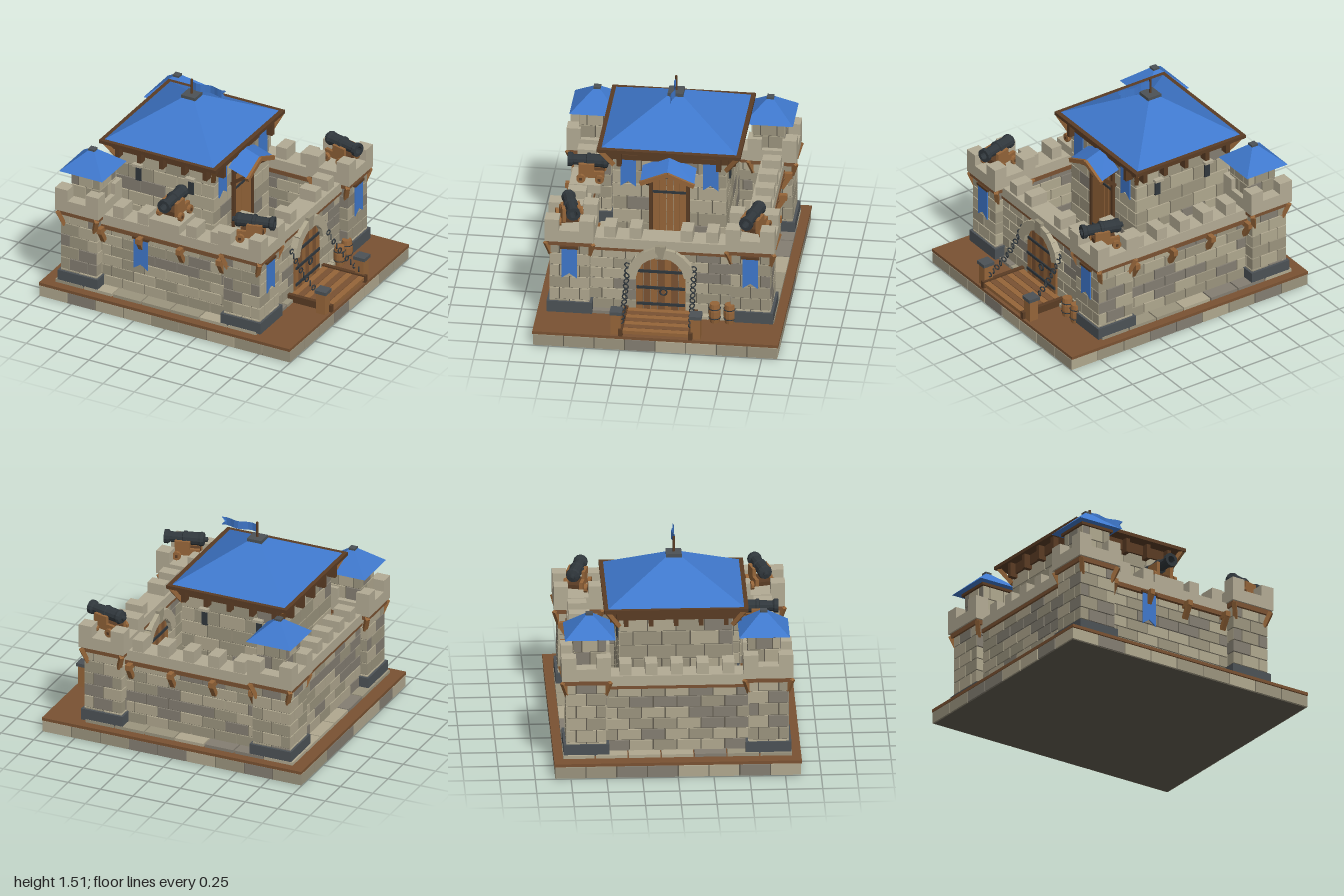
import * as THREE from 'three';
import { mergeGeometries } from 'three/addons/utils/BufferGeometryUtils.js';

const mat = (color, side = THREE.FrontSide) => new THREE.MeshStandardMaterial({ color, side, flatShading: true });
const M = {
  stones: [mat(0xb0a88f), mat(0x9b947e), mat(0x847e72)], cap: mat(0xb3ab94), mortar: mat(0x625d50),
  earth: mat(0x7a5232), wood: mat(0x956539), dark: mat(0x5a3c24), blue: mat(0x3f78cc),
  cloth: mat(0x3f78cc, THREE.DoubleSide), slate: mat(0x4c5256), iron: mat(0x30373c),
};
let seed = 7;
const rand = () => (seed = (seed * 16807) % 2147483647) / 2147483647;

export function createModel() {
  const root = new THREE.Group();
  const add = (parent, name, geo, material, x = 0, y = 0, z = 0) => {
    const m = new THREE.Mesh(geo, material);
    m.name = name; m.position.set(x, y, z); parent.add(m);
    return m;
  };
  const group = (name, x = 0, y = 0, z = 0, ry = 0, parent = root) => {
    const g = new THREE.Group();
    g.name = name; g.position.set(x, y, z); g.rotation.y = ry; parent.add(g);
    return g;
  };
  // box given by its limits
  const box = (name, material, x0, x1, y0, y1, z0, z1, parent = root) =>
    add(parent, name, new THREE.BoxGeometry(x1 - x0, y1 - y0, z1 - z0), material, (x0 + x1) / 2, (y0 + y1) / 2, (z0 + z1) / 2);
  // square bar between two points
  const beam = (name, material, a, b, w, parent = root) => {
    const p = new THREE.Vector3(...a), q = new THREE.Vector3(...b);
    const m = add(parent, name, new THREE.BoxGeometry(w, w, p.distanceTo(q)), material);
    m.position.copy(p).add(q).multiplyScalar(0.5);
    m.lookAt(q);
    return m;
  };
  const pyramid = (name, material, hx, hz, top, y0, y1, x, z) => {
    const geo = new THREE.CylinderGeometry(top * Math.SQRT2 / hz, Math.SQRT2, y1 - y0, 4).rotateY(Math.PI / 4).scale(hx, 1, hz);
    return add(root, name, geo, material, x, (y0 + y1) / 2, z);
  };
  const addStones = (parent, name, lists) => lists.forEach((l, i) => l.length && add(parent, name, mergeGeometries(l), M.stones[i]));
  const shade = () => { const r = rand(); return r < 0.45 ? 0 : r < 0.8 ? 1 : 2; };

  // mortar core faced with courses of stone on its four sides
  function masonry(name, x0, x1, y0, y1, z0, z1, rows, width) {
    const g = group(name), lists = [[], [], []], d = 0.012, gap = 0.008, h = (y1 - y0) / rows;
    box('mortar', M.mortar, x0 + d, x1 - d, y0, y1, z0 + d, z1 - d, g);
    const cx = (x0 + x1) / 2, cz = (z0 + z1) / 2;
    for (let side = 0; side < 4; side++) {
      const len = side % 2 ? z1 - z0 : x1 - x0, out = (side % 2 ? x1 - x0 : z1 - z0) / 2;
      const n = Math.max(1, Math.round(len / width)), w = len / n;
      for (let r = 0; r < rows; r++) for (let i = 0; i <= n; i++) {
        const shift = r % 2 ? w / 2 : 0;
        const a = Math.max(0, i * w - shift), b = Math.min(len, (i + 1) * w - shift);
        if (b - a < 0.02) continue;
        lists[shade()].push(new THREE.BoxGeometry(b - a - gap, h - gap, 0.03)
          .translate((a + b) / 2 - len / 2, y0 + (r + 0.5) * h, out - 0.015)
          .rotateY(side * Math.PI / 2).translate(cx, 0, cz));
      }
    }
    addStones(g, 'stones', lists);
  }

  // swallow-tailed hanging banner facing local +z
  function banner(x, top, z, ry) {
    const g = group('banner', x, top, z, ry), s = new THREE.Shape();
    [[-0.055, 0], [0.055, 0], [0.055, -0.24], [0, -0.2], [-0.055, -0.24]].forEach((p, i) => i ? s.lineTo(...p) : s.moveTo(...p));
    add(g, 'cloth', new THREE.ExtrudeGeometry(s, { depth: 0.008, bevelEnabled: false }), M.cloth);
    box('bannerRod', M.dark, -0.065, 0.065, -0.005, 0.012, -0.005, 0.015, g);
  }

  // cannon pointing to local +x
  function cannon(x, y, z, ry) {
    const g = group('cannon', x, y, z, ry);
    const profile = [[0, -0.17], [0.018, -0.165], [0.018, -0.148], [0.046, -0.14], [0.052, -0.12], [0.046, -0.1], [0.046, -0.02], [0.051, -0.015], [0.051, 0.005],
      [0.04, 0.01], [0.037, 0.1], [0.05, 0.112], [0.05, 0.14], [0.028, 0.14], [0.028, 0.06], [0, 0.06]];
    add(g, 'barrel', new THREE.LatheGeometry(profile.map(p => new THREE.Vector2(...p)), 12).rotateZ(-Math.PI / 2), M.iron, 0, 0.135, 0);
    for (const s of [-1, 1]) {
      box('carriageCheek', M.wood, -0.12, 0.06, 0.03, 0.08, s * 0.055 - 0.012, s * 0.055 + 0.012, g);
      box('carriageCheekTop', M.wood, -0.05, 0.06, 0.08, 0.135, s * 0.055 - 0.012, s * 0.055 + 0.012, g);
      for (const wx of [-0.09, 0.04])
        add(g, 'wheel', new THREE.CylinderGeometry(0.032, 0.032, 0.022, 10).rotateX(Math.PI / 2), M.wood, wx, 0.032, s * 0.085);
    }
    box('carriageBed', M.dark, -0.11, 0.05, 0.03, 0.055, -0.05, 0.05, g);
    for (const wx of [-0.09, 0.04]) box('axle', M.dark, wx - 0.01, wx + 0.01, 0.022, 0.042, -0.1, 0.1, g);
  }

  // base, earth and paving
  masonry('base', -1, 1, 0, 0.09, -0.86, 0.86, 1, 0.22);
  box('underside', M.mortar, -0.99, 0.99, 0, 0.01, -0.85, 0.85);
  box('earth', M.earth, -1, 1, 0.09, 0.112, -0.865, 0.865);
  const slabs = [[], [], []];
  for (let i = 0; i < 7; i++) for (let j = 0; j < 7; j++)
    slabs[shade()].push(new THREE.BoxGeometry(0.22, 0.025, 0.22).translate(-0.795 + i * 0.23, 0.122, (j - 3) * 0.23));
  addStones(root, 'paving', slabs);

  // curtain walls with cap and battlements
  for (const s of [-1, 1]) {
    masonry('sideWall', -0.6, 0.45, 0.13, 0.62, s * 0.64 - 0.06, s * 0.64 + 0.06, 6, 0.17);
    box('sideWallCap', M.cap, -0.6, 0.45, 0.62, 0.7, s * 0.64 - 0.08, s * 0.64 + 0.08);
    box('sideWallBeam', M.earth, -0.58, 0.44, 0.59, 0.622, s * 0.64 - 0.085, s * 0.64 + 0.085);
    for (const x of [-0.45, -0.255, -0.06, 0.135, 0.33])
      if (s < 0 || x !== -0.06) box('merlon', M.cap, x - 0.042, x + 0.042, 0.7, 0.79, s * 0.65 - 0.065, s * 0.65 + 0.065);
    for (const x of [-0.57, -0.26, 0.06, 0.38]) {
      box('bracket', M.wood, x - 0.018, x + 0.018, 0.57, 0.61, s * 0.74 - 0.04, s * 0.74 + 0.04);
      beam('bracketBrace', M.wood, [x, 0.49, s * 0.705], [x, 0.59, s * 0.765], 0.034);
    }
  }
  for (const [name, cx] of [['gateWall', 0.59], ['backWall', -0.76]]) {
    masonry(name, cx - 0.06, cx + 0.06, 0.13, 0.62, -0.5, 0.5, 6, 0.17);
    box(name + 'Beam', M.earth, cx - 0.075, cx + 0.075, 0.605, 0.63, -0.5, 0.5);
    box(name + 'Cap', M.cap, cx - 0.08, cx + 0.08, 0.63, 0.705, -0.5, 0.5);
    for (const z of [-0.36, -0.18, 0.18, 0.36]) box('merlon', M.cap, cx - 0.065, cx + 0.065, 0.705, 0.79, z - 0.042, z + 0.042);
  }
  box('backMerlon', M.cap, -0.825, -0.695, 0.705, 0.79, -0.042, 0.042);
  box('gunPlatform', M.cap, -0.2, 0.04, 0.7, 0.765, 0.5, 0.72);

  // corner towers
  for (const s of [-1, 1]) for (const cx of [-0.73, 0.57]) {
    const cz = s * 0.637;
    masonry('tower', cx - 0.145, cx + 0.145, 0.13, 0.68, cz - 0.142, cz + 0.142, 6, 0.15);
    box('towerPlinth', M.slate, cx - 0.16, cx + 0.16, 0.125, 0.21, cz - 0.16, cz + 0.16);
    box('towerBeam', M.earth, cx - 0.16, cx + 0.16, 0.66, 0.695, cz - 0.16, cz + 0.16);
    box('towerParapet', M.cap, cx - 0.172, cx + 0.172, 0.695, 0.785, cz - 0.172, cz + 0.172);
    for (const a of [-1, 1]) for (const b of [-1, 1]) {
      box('cornerMerlon', M.cap, cx + a * 0.122 - 0.05, cx + a * 0.122 + 0.05, 0.785, 0.87, cz + b * 0.122 - 0.05, cz + b * 0.122 + 0.05);
      beam('towerBrace', M.wood, [cx + a * 0.12, 0.57, cz + b * 0.13], [cx + a * 0.155, 0.68, cz + b * 0.165], 0.03);
    }
    if (cx < 0) {
      masonry('turret', -0.82, -0.59, 0.785, 0.98, s * 0.61 - 0.115, s * 0.61 + 0.115, 2, 0.12);
      box('turretBeam', M.dark, -0.835, -0.575, 0.975, 0.997, s * 0.61 - 0.13, s * 0.61 + 0.13);
      pyramid('turretRoof', M.blue, 0.172, 0.177, 0.02, 0.995, 1.13, -0.71, s * 0.61);
      box('turretFinial', M.slate, -0.735, -0.685, 1.12, 1.14, s * 0.61 - 0.025, s * 0.61 + 0.025);
    } else {
      banner(0.72, 0.64, s * 0.637, Math.PI / 2);
      cannon(0.605, 0.785, s * 0.64, s * 0.25);
    }
  }
  banner(-0.26, 0.59, 0.728, 0);
  cannon(-0.075, 0.765, 0.6, -Math.PI / 2);

  // keep
  const kx = -0.25;
  masonry('keep', kx - 0.39, kx + 0.39, 0.13, 1.06, -0.4, 0.4, 9, 0.19);
  box('keepBeam', M.dark, kx - 0.405, kx + 0.405, 1.05, 1.13, -0.415, 0.415);
  box('eavesFrame', M.dark, -0.72, 0.21, 1.125, 1.15, -0.505, 0.505);
  pyramid('keepRoof', M.blue, 0.435, 0.477, 0.055, 1.149, 1.38, -0.257, 0);
  box('roofCap', M.slate, -0.312, -0.202, 1.375, 1.402, -0.055, 0.055);
  add(root, 'flagPole', new THREE.CylinderGeometry(0.008, 0.008, 0.12, 8), M.dark, -0.257, 1.455, 0);
  for (const s of [-1, 1]) {
    for (let i = 0; i < 5; i++) {
      const t = -0.35 + i * 0.175;
      box('eavesBracket', M.dark, kx + t - 0.016, kx + t + 0.016, 1.02, 1.125, s * 0.43 - 0.03, s * 0.43 + 0.03);
      if (s < 0 || i % 4 === 0) box('eavesBracket', M.dark, kx + s * 0.42 - 0.03, kx + s * 0.42 + 0.03, 1.02, 1.125, t - 0.016, t + 0.016);
    }
    for (const a of [-1, 1]) beam('cornerBrace', M.wood, [kx + a * 0.385, 1.0, s * 0.4], [kx + a * 0.44, 1.13, s * 0.485], 0.03);
    for (const x of [-0.46, -0.04]) {
      box('windowSlit', M.iron, x - 0.022, x + 0.022, 0.85, 0.965, s * 0.4 - 0.01, s * 0.4 + 0.01);
      box('windowSill', M.cap, x - 0.035, x + 0.035, 0.965, 0.985, s * 0.41 - 0.025, s * 0.41 + 0.025);
    }
    banner(0.147, 1.08, s * 0.29, Math.PI / 2);
  }

  // keep door and its sloping gabled porch
  for (let i = 0; i < 5; i++) box('keepDoorPlank', M.wood, 0.13, 0.15, 0.14, 0.99, -0.12 + i * 0.048, -0.075 + i * 0.048);
  for (const y of [0.4, 0.8, 0.92]) box('doorStrap', M.iron, 0.14, 0.157, y, y + 0.018, -0.12, 0.12);
  for (const s of [-1, 1]) {
    box('doorPost', M.dark, 0.13, 0.16, 0.14, 1.0, s * 0.13 - 0.012, s * 0.13 + 0.012);
    const p = [0.13, 1.095, 0, 0.285, 1.04, 0, 0.285, 0.96, s * 0.19, 0.13, 1.01, s * 0.19];
    const geo = new THREE.BufferGeometry();
    geo.setAttribute('position', new THREE.Float32BufferAttribute(p, 3));
    geo.setIndex(s > 0 ? [0, 2, 1, 0, 3, 2] : [0, 1, 2, 0, 2, 3]);
    geo.computeVertexNormals();
    add(root, 'porchRoof', geo, M.cloth);
    beam('porchFascia', M.wood, [0.287, 1.025, 0], [0.287, 0.945, s * 0.19], 0.03);
    beam('porchBrace', M.dark, [0.14, 0.86, s * 0.15], [0.28, 0.96, s * 0.15], 0.022);
  }

  // rippling swallow-tailed flag
  const flag = new THREE.PlaneGeometry(0.27, 0.06, 8, 2), fp = flag.attributes.position;
  for (let i = 0; i < fp.count; i++) {
    const t = fp.getX(i) / 0.27 + 0.5;
    fp.setZ(i, 0.012 * Math.sin(t * 9));
    if (t > 0.99 && Math.abs(fp.getY(i)) < 0.01) fp.setX(i, 0.11);
  }
  flag.computeVertexNormals();
  add(root, 'flag', flag, M.cloth, -0.115, 1.467, 0);

  // gate: arched planks, straps and a ring of arch stones on both faces
  for (const [x, s] of [[0.65, 1], [0.53, -1]]) {
    const g = group('gate', x, 0, 0, s * Math.PI / 2);
    for (let i = 0; i < 7; i++) {
      const a = -0.175 + i * 0.05, mid = a + 0.025, top = 0.42 + Math.sqrt(0.18 ** 2 - mid * mid);
      box('gatePlank', i % 2 ? M.earth : M.wood, a + 0.002, a + 0.048, 0.13, top, -0.005, 0.015, g);
    }
    for (const y of [0.2, 0.33, 0.46]) box('gateStrap', M.iron, -0.17, 0.17, y - 0.01, y + 0.01, 0.01, 0.024, g);
    add(g, 'gateRing', new THREE.TorusGeometry(0.024, 0.006, 6, 14), M.iron, 0.02, 0.305, 0.03);
    for (let i = 0; i < 9; i++) {
      const t = Math.PI * (0.09 + 0.82 * i / 8), r = i === 4 ? 0.205 : 0.2;
      const stone = add(g, i === 4 ? 'keystone' : 'archStone', new THREE.BoxGeometry(0.075, i === 4 ? 0.1 : 0.07, 0.06),
        M.stones[i === 4 ? 1 : 0], r * Math.cos(t), 0.42 + r * Math.sin(t), 0.02);
      stone.rotation.z = t - Math.PI / 2 + (i % 2 ? 0.12 : 0);
    }
  }

  // bridge with posts and chains
  for (let i = 0; i < 7; i++) box('bridgePlank', i % 2 ? M.earth : M.wood, 0.66 + i * 0.048, 0.704 + i * 0.048, 0.13, 0.155, -0.24, 0.24);
  for (const s of [-1, 1]) {
    box('bridgeRail', M.dark, 0.64, 1, 0.112, 0.165, s * 0.245 - 0.015, s * 0.245 + 0.015);
    box('bridgePost', M.wood, 0.91, 0.98, 0.112, 0.275, s * 0.28 - 0.035, s * 0.28 + 0.035);
    box('postCap', M.slate, 0.9, 0.99, 0.27, 0.295, s * 0.28 - 0.043, s * 0.28 + 0.043);
    const curve = new THREE.QuadraticBezierCurve3(new THREE.Vector3(0.67, 0.5, s * 0.235), new THREE.Vector3(0.76, 0.3, s * 0.235), new THREE.Vector3(0.94, 0.2, s * 0.245));
    for (let i = 0; i <= 11; i++) {
      const link = add(root, 'chainLink', new THREE.TorusGeometry(0.018, 0.005, 5, 10), M.iron);
      link.position.copy(curve.getPointAt(i / 11));
      link.rotation.y = Math.PI / 2 + (i % 2 ? 0.5 : -0.2);
    }
  }

  // barrels beside the gate
  for (const z of [-0.385, -0.49]) {
    const g = group('barrel', 0.71, 0.112, z);
    const pts = [[0, 0], [0.034, 0], [0.042, 0.05], [0.042, 0.09], [0.034, 0.145], [0, 0.145]].map(p => new THREE.Vector2(...p));
    add(g, 'staves', new THREE.LatheGeometry(pts, 12), M.wood);
    for (const y of [0.035, 0.108]) add(g, 'hoop', new THREE.TorusGeometry(0.04, 0.004, 5, 14).rotateX(Math.PI / 2), M.iron, 0, y, 0);
  }
  return root;
}
